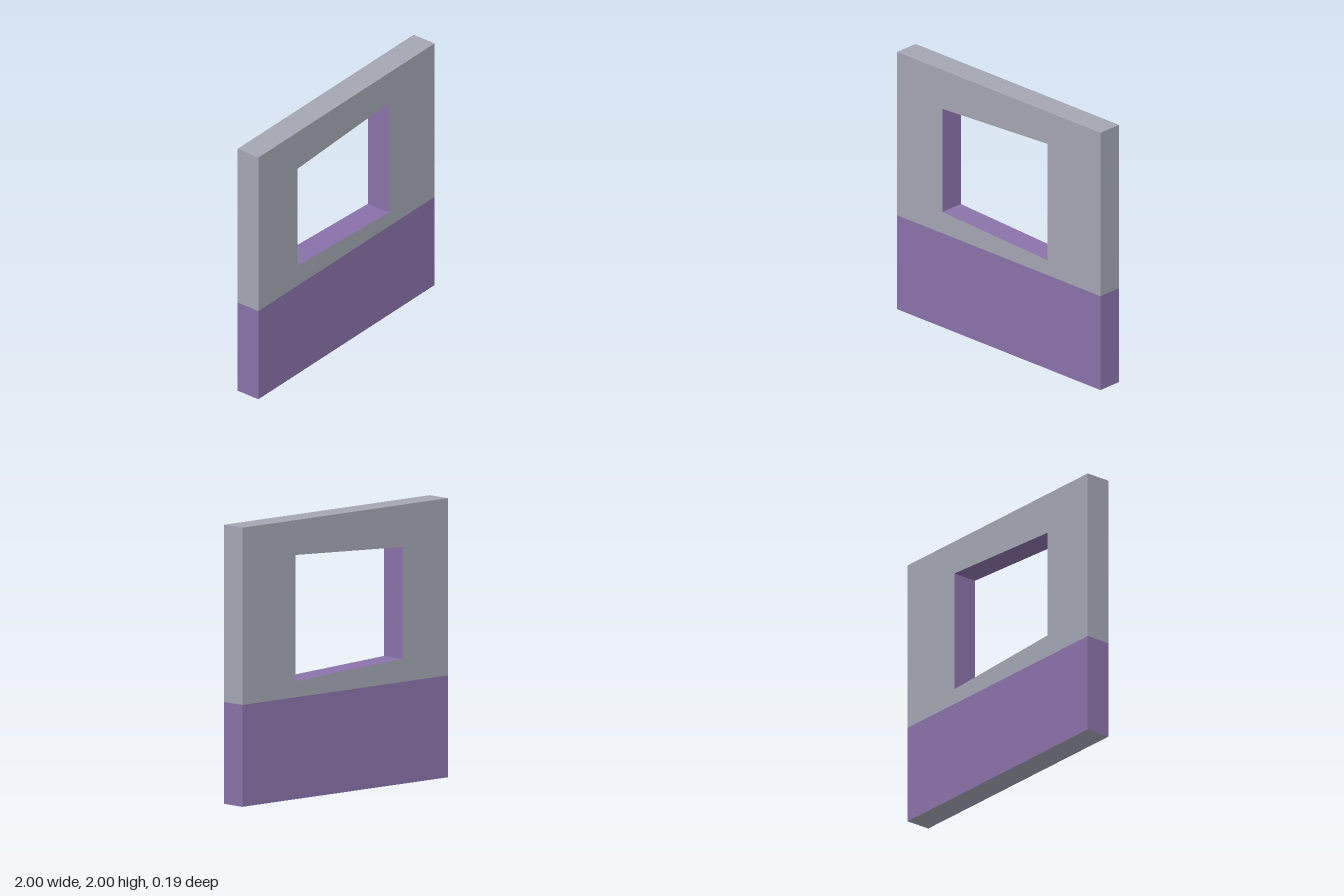
import * as THREE from 'three';

const DEPTH = 0.19, SPLIT = 0.73, TOP = 2;

// Keeps only the triangles whose centre and normal pass the test
function pickFaces(geometry, test) {
  const source = geometry.index ? geometry.toNonIndexed() : geometry;
  const pos = source.attributes.position;
  const tri = new THREE.Triangle(), centre = new THREE.Vector3(), normal = new THREE.Vector3();
  const index = [];
  for (let i = 0; i < pos.count; i += 3) {
    tri.setFromAttributeAndIndices(pos, i, i + 1, i + 2);
    tri.getMidpoint(centre);
    tri.getNormal(normal);
    if (test(centre, normal)) index.push(i, i + 1, i + 2);
  }
  const picked = source.clone();
  picked.clearGroups();
  picked.setIndex(index);
  return picked.toNonIndexed();
}

export function createModel() {
  const grey = new THREE.MeshStandardMaterial({ name: 'plasterGrey', color: 0xa4a6b3 });
  const purple = new THREE.MeshStandardMaterial({ name: 'paintPurple', color: 0x8a72aa });

  const group = new THREE.Group();
  group.name = 'windowWall';
  const add = (name, geometry, material) => {
    const mesh = new THREE.Mesh(geometry, material);
    mesh.name = name;
    group.add(mesh);
  };

  // Upper wall with a skewed window opening
  const corners = (pts) => pts.map(([x, y]) => new THREE.Vector2(x, y));
  const shape = new THREE.Shape(corners([[-1, SPLIT], [1, SPLIT], [1, TOP], [-1, TOP]]));
  shape.holes.push(new THREE.Path(corners([[-0.555, 0.895], [-0.555, 1.697], [0.481, 1.75], [0.481, 0.846]])));
  const upper = new THREE.ExtrudeGeometry(shape, { depth: DEPTH, bevelEnabled: false });
  upper.translate(0, 0, -DEPTH / 2);

  const isReveal = (c, n) => Math.abs(n.z) < 0.5 && Math.abs(c.x) < 0.9 && c.y > SPLIT + 0.05 && c.y < TOP - 0.05;
  const isSeam = (c) => Math.abs(c.y - SPLIT) < 0.001;
  add('upperWall', pickFaces(upper, (c, n) => !isReveal(c, n) && !isSeam(c)), grey);
  add('windowReveal', pickFaces(upper, isReveal), purple);

  // Painted lower wall, with an unpainted underside
  const lower = new THREE.BoxGeometry(2, SPLIT, DEPTH);
  lower.translate(0, SPLIT / 2, 0);
  add('lowerWall', pickFaces(lower, (c, n) => Math.abs(n.y) < 0.5), purple);
  add('underside', pickFaces(lower, (c, n) => n.y < -0.5), grey);

  return group;
}
